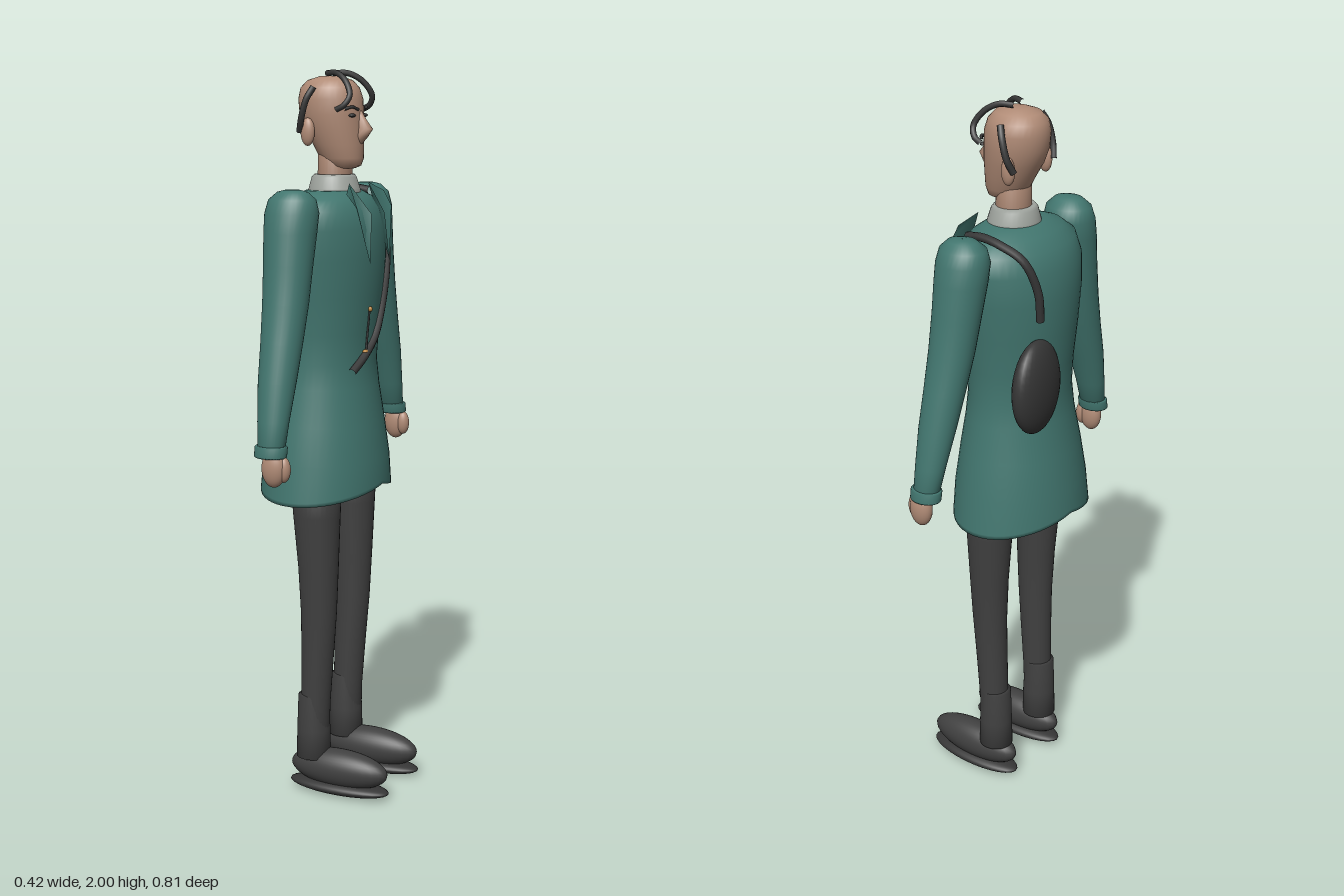
import * as THREE from 'three';

const mat = (name, color, side = THREE.FrontSide) => {
  const m = new THREE.MeshStandardMaterial({ color, side });
  m.name = name;
  return m;
};

// Skin over elliptical rings [y, xMin, xMax, zCentre, zHalf], listed bottom to top, closed at both ends.
function loft(rings, lift = () => 0, n = 32) {
  const first = rings[0], last = rings[rings.length - 1];
  const tip = r => [r[0], (r[1] + r[2]) / 2 - 0.001, (r[1] + r[2]) / 2 + 0.001, r[3], 0.001];
  const all = [tip(first), ...rings, tip(last)];
  const pos = [], idx = [];
  all.forEach(([y, x0, x1, zc, rz], i) => {
    for (let j = 0; j < n; j++) {
      const a = (j / n) * Math.PI * 2;
      pos.push((x0 + x1) / 2 + Math.cos(a) * (x1 - x0) / 2, y + lift(y, a), zc + Math.sin(a) * rz);
      if (i < all.length - 1) {
        const p = i * n + j, q = i * n + (j + 1) % n;
        idx.push(p, p + n, q, q, p + n, q + n);
      }
    }
  });
  const g = new THREE.BufferGeometry();
  g.setAttribute('position', new THREE.Float32BufferAttribute(pos, 3));
  g.setIndex(idx);
  g.computeVertexNormals();
  return g;
}

const curve = pts => new THREE.CatmullRomCurve3(pts.map(p => new THREE.Vector3(...p)));
const tube = (pts, r) => new THREE.TubeGeometry(curve(pts), 32, r, 8);

// Flat sheet fanned from its first corner.
function sheet(points) {
  const g = new THREE.BufferGeometry();
  g.setAttribute('position', new THREE.Float32BufferAttribute(points.flat(), 3));
  const idx = [];
  for (let i = 1; i < points.length - 1; i++) idx.push(0, i, i + 1);
  g.setIndex(idx);
  g.computeVertexNormals();
  return g;
}

export function createModel() {
  const group = new THREE.Group();
  const teal = mat('tealCloth', 0x42766f);
  const tealSheet = mat('tealLapel', 0x42766f, THREE.DoubleSide);
  const skin = mat('skin', 0xb08b76);
  const dark = mat('darkCloth', 0x404040);
  const black = mat('blackLeather', 0x363636);
  const grey = mat('shirtGrey', 0xa0a59f);
  const gold = mat('brass', 0xb8823c);

  const add = (name, geo, material, at, scale) => {
    const m = new THREE.Mesh(geo, material);
    m.name = name;
    if (at) m.position.set(...at);
    if (scale) m.scale.set(...scale);
    group.add(m);
    return m;
  };
  const ball = (name, material, at, radii) =>
    add(name, new THREE.SphereGeometry(1, 28, 20), material, at, radii);

  // Long coat, its hem dipping at the sides
  add('coat', loft([
    [0.895, -0.15, 0.09, 0, 0.15],
    [0.882, -0.2, 0.13, 0, 0.2],
    [0.88, -0.208, 0.138, 0, 0.212],
    [0.89, -0.208, 0.139, 0, 0.21],
    [0.95, -0.201, 0.135, 0, 0.2],
    [1.05, -0.186, 0.122, 0, 0.183],
    [1.15, -0.167, 0.107, 0, 0.164],
    [1.22, -0.16, 0.1, 0, 0.156],
    [1.3, -0.164, 0.106, 0, 0.16],
    [1.4, -0.173, 0.116, 0, 0.173],
    [1.5, -0.177, 0.122, 0, 0.187],
    [1.58, -0.169, 0.118, 0, 0.196],
    [1.63, -0.146, 0.104, 0, 0.188],
    [1.66, -0.115, 0.082, 0, 0.15],
    [1.68, -0.08, 0.055, 0, 0.095],
  ], (y, a) => (y < 0.9 ? -0.04 * Math.abs(Math.sin(a)) : 0), 48), teal);

  // Shirt collar, neck
  add('shirtCollar', loft([
    [1.65, -0.085, 0.07, 0, 0.08],
    [1.685, -0.078, 0.06, 0, 0.072],
    [1.715, -0.07, 0.05, 0, 0.064],
    [1.722, -0.062, 0.044, 0, 0.058],
  ]), grey);
  add('neck', loft([
    [1.67, -0.055, 0.04, 0, 0.05],
    [1.8, -0.052, 0.038, 0, 0.048],
  ]), skin);

  // Head, nose
  add('head', loft([
    [1.738, -0.005, 0.05, 0, 0.028],
    [1.745, -0.025, 0.067, 0, 0.042],
    [1.765, -0.048, 0.074, 0, 0.052],
    [1.8, -0.066, 0.073, 0, 0.063],
    [1.84, -0.09, 0.073, 0, 0.073],
    [1.88, -0.105, 0.071, 0, 0.08],
    [1.92, -0.109, 0.069, 0, 0.081],
    [1.95, -0.103, 0.059, 0, 0.074],
    [1.97, -0.084, 0.04, 0, 0.056],
    [1.98, -0.05, 0.01, 0, 0.028],
  ]), skin);
  add('nose', loft([
    [1.802, 0.045, 0.072, 0, 0.013],
    [1.822, 0.045, 0.09, 0, 0.018],
    [1.842, 0.045, 0.105, 0, 0.016],
    [1.865, 0.045, 0.087, 0, 0.012],
    [1.892, 0.045, 0.07, 0, 0.008],
  ], undefined, 16), skin);

  for (const s of [1, -1]) {
    const side = s > 0 ? 'right' : 'left';

    // Sleeve, cuff, hand, thumb
    add(side + 'Sleeve', loft([
      [1.02, -0.044, 0.029, s * 0.369, 0.03],
      [1.1, -0.053, 0.033, s * 0.351, 0.037],
      [1.2, -0.064, 0.039, s * 0.324, 0.047],
      [1.3, -0.071, 0.042, s * 0.294, 0.054],
      [1.4, -0.079, 0.045, s * 0.267, 0.059],
      [1.5, -0.086, 0.047, s * 0.247, 0.063],
      [1.58, -0.092, 0.05, s * 0.232, 0.068],
      [1.63, -0.094, 0.052, s * 0.223, 0.067],
      [1.665, -0.085, 0.044, s * 0.221, 0.056],
      [1.685, -0.06, 0.022, s * 0.222, 0.034],
      [1.69, -0.04, 0.002, s * 0.222, 0.016],
    ]), teal);
    add(side + 'Cuff', loft([
      [1.01, -0.05, 0.034, s * 0.371, 0.033],
      [1.013, -0.053, 0.037, s * 0.371, 0.035],
      [1.037, -0.053, 0.037, s * 0.367, 0.036],
      [1.04, -0.05, 0.034, s * 0.367, 0.033],
    ]), teal);
    ball(side + 'Hand', skin, [0.004, 0.982, s * 0.376], [0.034, 0.05, 0.024]);
    ball(side + 'Thumb', skin, [0.03, 0.98, s * 0.37], [0.019, 0.034, 0.017]);

    // Trouser leg, ankle gaiter, shoe, sole
    add(side + 'Trouser', loft([
      [0.1, -0.062, 0.022, s * 0.102, 0.04],
      [0.25, -0.058, 0.024, s * 0.102, 0.041],
      [0.4, -0.056, 0.036, s * 0.103, 0.043],
      [0.52, -0.056, 0.046, s * 0.105, 0.045],
      [0.65, -0.062, 0.052, s * 0.107, 0.051],
      [0.8, -0.075, 0.058, s * 0.109, 0.06],
      [0.93, -0.085, 0.064, s * 0.11, 0.066],
    ]), dark);
    add(side + 'Gaiter', loft([
      [0.1, -0.072, 0.025, s * 0.102, 0.048],
      [0.18, -0.07, 0.024, s * 0.102, 0.046],
      [0.28, -0.066, 0.016, s * 0.102, 0.044],
      [0.285, -0.055, 0.012, s * 0.102, 0.038],
    ]), dark);
    ball(side + 'Shoe', dark, [0.056, 0.073, s * 0.1], [0.148, 0.055, 0.05]);
    ball(side + 'Sole', black, [0.056, 0.021, s * 0.1], [0.152, 0.021, 0.053]);

    // Lapel
    add(side + 'Lapel', sheet([
      [0.064, 1.7, s * 0.058], [0.084, 1.675, s * 0.115], [0.112, 1.635, s * 0.105],
      [0.128, 1.49, s * 0.06], [0.122, 1.62, s * 0.04],
    ]), tealSheet);

    // Ear, eye, brow, two hair strands
    ball(side + 'Ear', skin, [-0.05, 1.835, s * 0.077], [0.02, 0.037, 0.014]);
    ball(side + 'Eye', black, [0.062, 1.878, s * 0.037], [0.009, 0.005, 0.012]);
    add(side + 'Brow', tube([
      [0.072, 1.893, s * 0.02], [0.065, 1.9, s * 0.042], [0.05, 1.894, s * 0.06],
    ], 0.004), black);
    add(side + 'TopHair', tube([
      [-0.022, 1.988, s * 0.018], [0.015, 1.988, s * 0.034], [0.05, 1.967, s * 0.052],
      [0.07, 1.93, s * 0.068], [0.058, 1.905, s * 0.078], [0.036, 1.893, s * 0.08],
    ], 0.008), black);
    add(side + 'SideHair', tube([
      [-0.072, 1.835, s * 0.082], [-0.06, 1.87, s * 0.095],
      [-0.045, 1.92, s * 0.095], [-0.03, 1.952, s * 0.083],
    ], 0.009), black);
  }

  // Shoulder bag on the back with its strap
  const bag = ball('bag', black, [-0.162, 1.28, -0.1], [0.045, 0.13, 0.1]);
  bag.rotation.y = 0.12;
  add('backStrap', tube([
    [-0.178, 1.47, -0.105], [-0.178, 1.55, -0.115], [-0.15, 1.635, -0.14],
    [-0.09, 1.668, -0.155], [-0.03, 1.678, -0.157], [0.02, 1.672, -0.157],
  ], 0.011), black);
  add('frontStrap', tube([
    [0.092, 1.2, 0.095], [0.102, 1.235, 0.045], [0.108, 1.285, -0.01],
    [0.108, 1.36, -0.053], [0.106, 1.45, -0.085], [0.097, 1.52, -0.11],
  ], 0.011), black);

  // Watch chain and its two brass ends
  add('chain', tube([[0.111, 1.365, 0.028], [0.106, 1.31, 0.028], [0.104, 1.25, 0.035]], 0.003), black);
  ball('upperButton', gold, [0.113, 1.365, 0.028], [0.006, 0.007, 0.006]);
  ball('lowerButton', gold, [0.103, 1.25, 0.036], [0.008, 0.006, 0.009]);

  return group;
}
